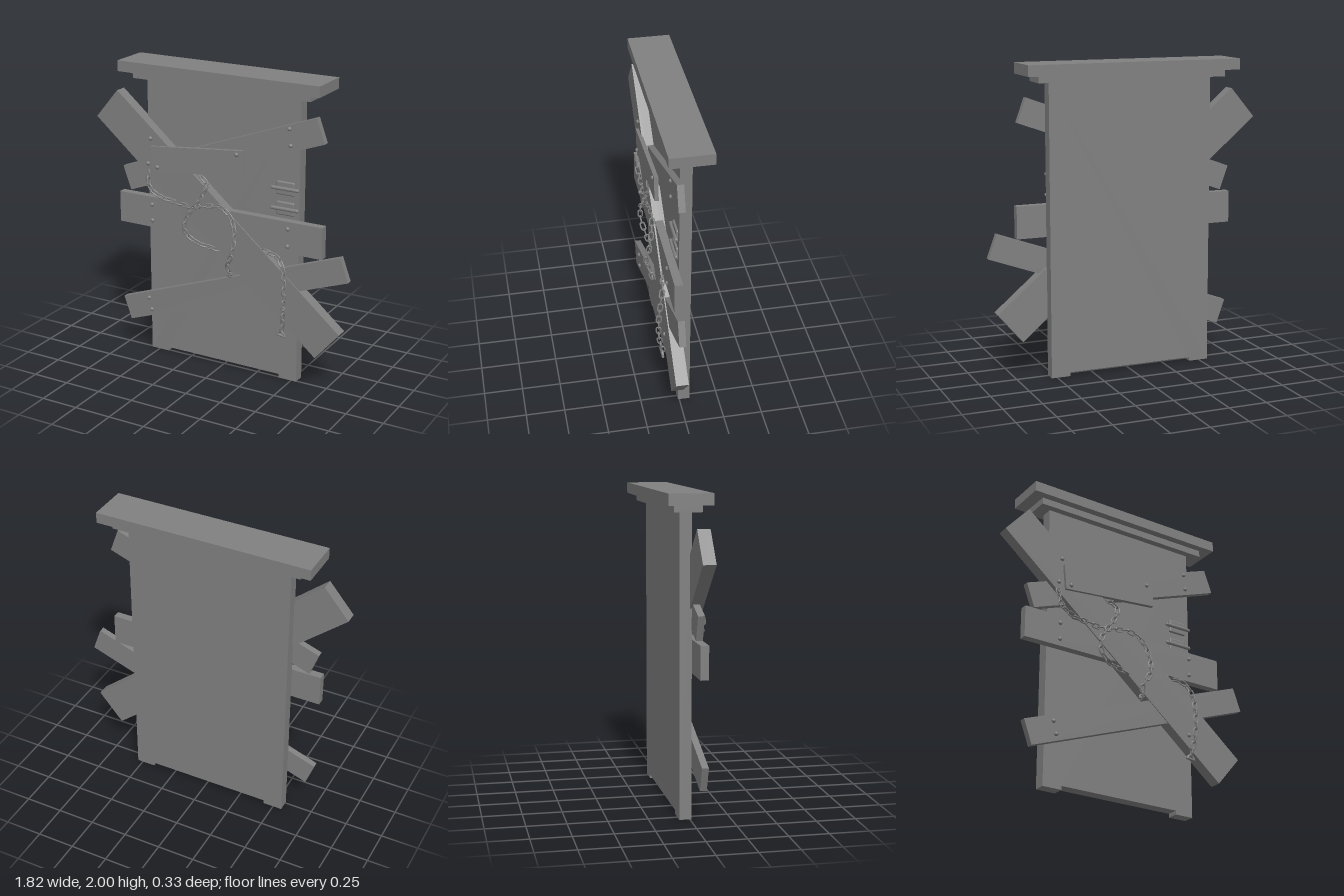
import * as THREE from 'three';
import { RoundedBoxGeometry } from 'three/addons/geometries/RoundedBoxGeometry.js';

const flat = new THREE.MeshStandardMaterial({ color: 0x808080, flatShading: true });
const smooth = new THREE.MeshStandardMaterial({ color: 0x808080 });

function add(parent, name, geometry, material = flat) {
  const mesh = new THREE.Mesh(geometry, material);
  mesh.name = name;
  parent.add(mesh);
  return mesh;
}

// Box given by its limits on each axis
function block(parent, name, x0, x1, y0, y1, z0, z1) {
  const mesh = add(parent, name, new THREE.BoxGeometry(x1 - x0, y1 - y0, z1 - z0));
  mesh.position.set((x0 + x1) / 2, (y0 + y1) / 2, (z0 + z1) / 2);
}

// Board running between the midpoints of its two ends
function plank(parent, name, ax, ay, bx, by, width, z0, z1, tilt = 0) {
  const length = Math.hypot(bx - ax, by - ay);
  const mesh = add(parent, name, new THREE.BoxGeometry(length, width, z1 - z0));
  mesh.position.set((ax + bx) / 2, (ay + by) / 2, (z0 + z1) / 2);
  mesh.rotation.set(0, tilt, Math.atan2(by - ay, bx - ax));
}

// Oval link: a torus pulled apart along x
function linkGeometry(radius, tube, stretch) {
  const g = new THREE.TorusGeometry(radius, tube, 6, 16);
  const p = g.attributes.position;
  for (let i = 0; i < p.count; i++) {
    const x = p.getX(i);
    if (Math.abs(x) > 1e-5) p.setX(i, x + Math.sign(x) * stretch);
  }
  g.computeVertexNormals();
  return g;
}

// Links follow a curve, each one turned a quarter from the last
function chain(parent, name, points) {
  const group = new THREE.Group();
  group.name = name;
  parent.add(group);
  const curve = new THREE.CatmullRomCurve3(points.map(p => new THREE.Vector3(...p)));
  const count = Math.round(curve.getLength() / 0.045);
  const link = linkGeometry(0.0145, 0.005, 0.013);
  for (let i = 0; i <= count; i++) {
    const t = curve.getTangentAt(i / count);
    const side = new THREE.Vector3(0, 0, 1).cross(t).normalize();
    const out = new THREE.Vector3().crossVectors(t, side);
    const mesh = add(group, 'chainLink', link, smooth);
    mesh.quaternion.setFromRotationMatrix(new THREE.Matrix4().makeBasis(t, side, out));
    mesh.rotateX((i % 2) * Math.PI / 2 + 0.2);
    mesh.position.copy(curve.getPointAt(i / count));
  }
}

export function createModel() {
  const model = new THREE.Group();
  model.name = 'boardedDoor';

  // Door slab with a shallow gap along the floor
  const outline = new THREE.Shape([
    [-0.56, 0], [-0.43, 0], [-0.43, 0.025], [0.41, 0.025],
    [0.41, 0], [0.537, 0], [0.537, 1.89], [-0.56, 1.89],
  ].map(p => new THREE.Vector2(...p)));
  const door = add(model, 'door', new THREE.ExtrudeGeometry(outline, { depth: 0.076, bevelEnabled: false }));
  door.position.z = -0.067;

  // Stepped lintel
  block(model, 'lintelCap', -0.722, 0.7, 1.93, 2, -0.166, 0.105);
  block(model, 'lintelStep', -0.64, 0.618, 1.885, 1.93, -0.117, 0.055);

  // Boards nailed over the door
  plank(model, 'upperPlank', -0.705, 1.2065, 0.6885, 1.7125, 0.166, 0.008, 0.05);
  plank(model, 'middlePlank', -0.75, 1.0075, 0.726, 1.0075, 0.208, 0.02, 0.072);
  plank(model, 'lowerPlank', -0.7085, 0.288, 0.8805, 0.865, 0.165, 0.035, 0.077);
  plank(model, 'diagonalPlank', -0.83, 1.7, 0.782, 0.335, 0.252, 0.001, 0.081, -0.006);
  plank(model, 'shortPlank', -0.483, 1.38, 0.187, 1.445, 0.167, 0.07, 0.097);

  // Nail heads: x, y and the height of the board under them
  const nail = new THREE.SphereGeometry(0.014, 10, 8);
  for (const [x, y, z] of [
    [-0.5, 1.51, 0.079], [-0.52, 1.34, 0.079], [0.48, 1.7, 0.05], [0.49, 1.595, 0.05],
    [-0.44, 1.33, 0.097], [0.14, 1.5, 0.097], [-0.5, 1.06, 0.072], [-0.5, 0.95, 0.072],
    [0.49, 1.065, 0.072], [0.49, 0.95, 0.072], [-0.535, 0.395, 0.077], [-0.515, 0.315, 0.077],
    [0.47, 0.52, 0.084],
  ]) add(model, 'nailHead', nail, smooth).position.set(x, y, z);

  // Two latches: a rounded plate with a cross bar
  for (const y of [1.305, 1.173]) {
    const latch = new THREE.Group();
    latch.name = 'latch';
    latch.position.set(0.442, y, 0.012);
    add(latch, 'latchPlate', new RoundedBoxGeometry(0.126, 0.088, 0.02, 3, 0.009), smooth);
    const bar = add(latch, 'latchBar', new THREE.CapsuleGeometry(0.012, 0.172, 4, 10), smooth);
    bar.rotation.z = Math.PI / 2;
    bar.position.z = 0.014;
    model.add(latch);
  }

  // Hanging chains
  chain(model, 'longChain', [
    [-0.52, 1.27, 0.08], [-0.5, 1.18, 0.09], [-0.42, 1.13, 0.088], [-0.3, 1.11, 0.086],
    [-0.2, 1.1, 0.088], [-0.1, 1.12, 0.083], [0.02, 1.13, 0.085], [0.1, 1.08, 0.1],
    [0.14, 0.98, 0.12], [0.13, 0.85, 0.143], [0.09, 0.76, 0.12], [0.095, 0.7, 0.1],
  ]);
  chain(model, 'crossChain', [
    [-0.14, 1.32, 0.072], [-0.085, 1.27, 0.085], [-0.11, 1.19, 0.1], [-0.17, 1.1, 0.112],
    [-0.22, 1.01, 0.118], [-0.22, 0.93, 0.115], [-0.15, 0.87, 0.098], [-0.02, 0.84, 0.08],
  ]);
  chain(model, 'sideChain', [
    [0.34, 0.89, 0.075], [0.43, 0.87, 0.09], [0.48, 0.8, 0.11], [0.495, 0.65, 0.128],
    [0.49, 0.5, 0.122], [0.475, 0.4, 0.1],
  ]);

  // Shackles that end two of the chains: an arch closed by a pin
  for (const [x, y, z, turn, size] of [[0.467, 0.352, 0.1, -0.1, 1], [0.095, 0.69, 0.098, 0.5, 0.7]]) {
    const shackle = new THREE.Group();
    shackle.name = 'shackle';
    add(shackle, 'shackleArch', new THREE.TorusGeometry(0.024, 0.008, 6, 12, Math.PI), smooth);
    const pin = add(shackle, 'shacklePin', new THREE.CapsuleGeometry(0.009, 0.052, 3, 8), smooth);
    pin.rotation.z = Math.PI / 2;
    shackle.position.set(x, y, z);
    shackle.rotation.z = turn;
    shackle.scale.setScalar(size);
    model.add(shackle);
  }
  return model;
}
